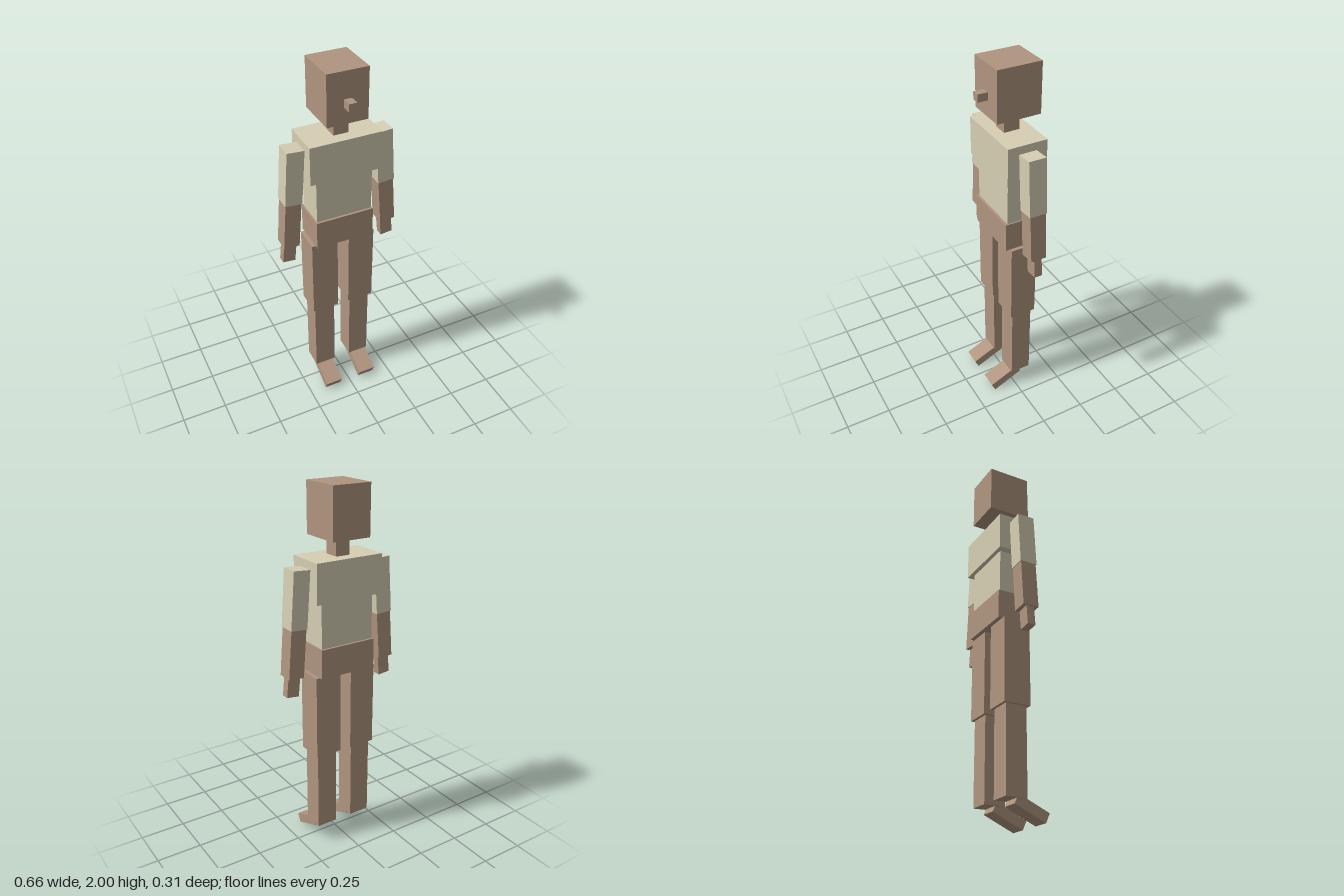
import * as THREE from 'three';

export function createModel() {
  const model = new THREE.Group();
  model.name = 'blockFigure';

  const skin = new THREE.MeshStandardMaterial({ color: 0xb0957f });
  skin.name = 'skin brown';
  const shirt = new THREE.MeshStandardMaterial({ color: 0xd6cfb4 });
  shirt.name = 'shirt beige';

  // Box given by its limits on each axis
  function block(name, material, [x0, x1], [y0, y1], [z0, z1]) {
    const mesh = new THREE.Mesh(new THREE.BoxGeometry(x1 - x0, y1 - y0, z1 - z0), material);
    mesh.position.set((x0 + x1) / 2, (y0 + y1) / 2, (z0 + z1) / 2);
    mesh.name = name;
    model.add(mesh);
    return mesh;
  }

  // Box running from an upper to a lower joint in the plane z = -0.034
  function armSegment(name, material, side, [ax, ay], [bx, by], width, depth) {
    const dx = bx - ax, dy = ay - by;
    const mesh = new THREE.Mesh(new THREE.BoxGeometry(width, Math.hypot(dx, dy), depth), material);
    mesh.position.set(side * (ax + bx) / 2, (ay + by) / 2, -0.034);
    mesh.rotation.z = side * Math.atan2(dx, dy);
    mesh.name = name;
    model.add(mesh);
  }

  // Head, nose and neck
  block('head', skin, [-0.109, 0.109], [1.733, 2], [-0.154, 0.085]);
  block('nose', skin, [-0.021, 0.021], [1.82, 1.861], [0.08, 0.14]);
  block('neck', skin, [-0.04, 0.04], [1.64, 1.733], [-0.076, 0.01]);

  // Torso
  block('chest', shirt, [-0.195, 0.195], [1.43, 1.64], [-0.142, 0.075]);
  block('waist', shirt, [-0.155, 0.155], [1.185, 1.43], [-0.119, 0.052]);
  block('pelvis', skin, [-0.162, 0.162], [1.025, 1.185], [-0.131, 0.065]);

  for (const side of [1, -1]) {
    const label = side > 0 ? 'left' : 'right';
    const span = (a, b) => (side > 0 ? [a, b] : [-b, -a]);

    // Arms
    armSegment(label + 'UpperArm', shirt, side, [0.241, 1.6], [0.263, 1.298], 0.093, 0.096);
    armSegment(label + 'Forearm', skin, side, [0.263, 1.298], [0.283, 1.038], 0.087, 0.088);
    armSegment(label + 'Hand', skin, side, [0.283, 1.038], [0.294, 0.931], 0.07, 0.044);

    // Legs
    block(label + 'Thigh', skin, span(0.033, 0.182), [0.562, 1.025], [-0.108, 0.041]);
    block(label + 'Shin', skin, span(0.049, 0.168), [0.105, 0.562], [-0.092, 0.025]);

    // Foot pointing forward and down
    const foot = new THREE.Mesh(new THREE.BoxGeometry(0.097, 0.053, 0.187), skin);
    foot.position.set(side * 0.109, 0.063, 0.057);
    foot.rotation.x = 0.42;
    foot.name = label + 'Foot';
    model.add(foot);
  }

  return model;
}
